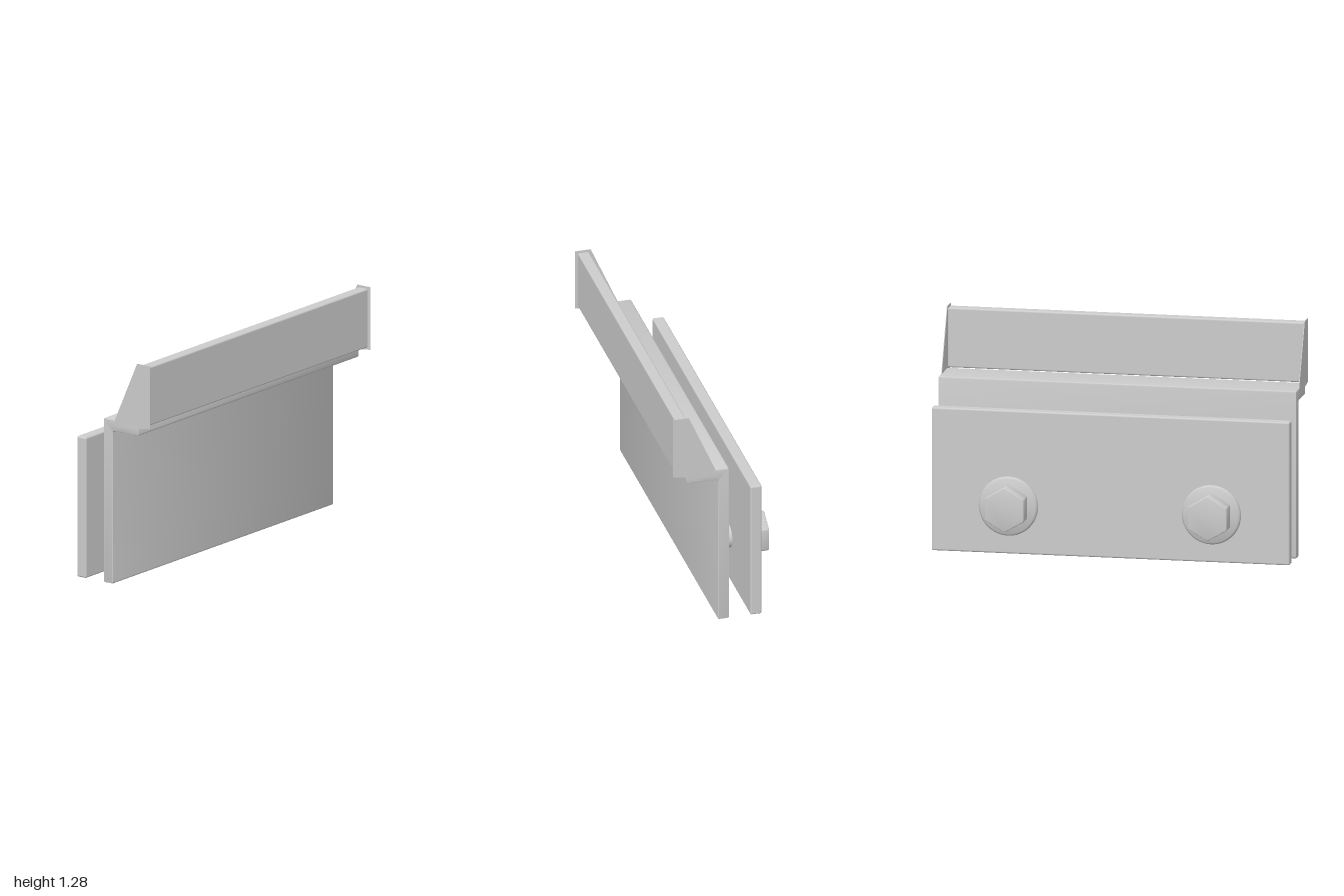
import * as THREE from 'three';
import { toCreasedNormals } from 'three/addons/utils/BufferGeometryUtils.js';
import { RoundedBoxGeometry } from 'three/addons/geometries/RoundedBoxGeometry.js';

const grey = new THREE.MeshStandardMaterial({ color: 0xcccccc });
const thin = new THREE.MeshStandardMaterial({ color: 0xcccccc, side: THREE.DoubleSide });

function add(parent, name, geometry, material = grey) {
  const mesh = new THREE.Mesh(geometry, material);
  mesh.name = name;
  parent.add(mesh);
  return mesh;
}

// Closed outline with small rounded corners
function roundedShape(points, r) {
  const pts = points.map(([x, y]) => new THREE.Vector2(x, y));
  const shape = new THREE.Shape();
  pts.forEach((p, i) => {
    const prev = pts[(i + pts.length - 1) % pts.length];
    const next = pts[(i + 1) % pts.length];
    const a = prev.clone().sub(p).setLength(r).add(p);
    const b = next.clone().sub(p).setLength(r).add(p);
    if (i === 0) shape.moveTo(a.x, a.y);
    else shape.lineTo(a.x, a.y);
    shape.quadraticCurveTo(p.x, p.y, b.x, b.y);
  });
  shape.closePath();
  return shape;
}

// Extrusion with softened ends, centred on its own depth
function softExtrude(shape, depth, bevel) {
  const geometry = new THREE.ExtrudeGeometry(shape, {
    depth: depth - 2 * bevel, curveSegments: 4,
    bevelEnabled: true, bevelSize: bevel, bevelThickness: bevel, bevelOffset: -bevel, bevelSegments: 2,
  });
  geometry.translate(0, 0, bevel - depth / 2);
  return toCreasedNormals(geometry, 0.6);
}

function makeBolt() {
  const bolt = new THREE.Group();
  bolt.name = 'bolt';

  // Shank bridging the two plates
  const shank = add(bolt, 'shank', new THREE.CylinderGeometry(0.066, 0.066, 0.15, 40));
  shank.rotation.x = Math.PI / 2;
  shank.position.z = -0.065;

  // Washer with a rounded rim
  const rim = [[0, 0], [0.153, 0], [0.162, 0.005], [0.165, 0.012], [0.165, 0.021], [0.162, 0.028], [0.153, 0.034], [0, 0.034]];
  const washer = add(bolt, 'washer', toCreasedNormals(
    new THREE.LatheGeometry(rim.map(([r, y]) => new THREE.Vector2(r, y)), 48), 0.7));
  washer.rotation.x = -Math.PI / 2;
  washer.position.z = -0.185;

  // Hexagonal head, corner up
  const corners = [];
  for (let i = 0; i < 6; i++) {
    const a = Math.PI / 2 + (i * Math.PI) / 3;
    corners.push([0.126 * Math.cos(a), 0.126 * Math.sin(a)]);
  }
  add(bolt, 'hexHead', softExtrude(roundedShape(corners, 0.008), 0.1, 0.008)).position.z = -0.269;
  return bolt;
}

export function createModel() {
  const model = new THREE.Group();
  model.name = 'clampBracket';

  // Front plate and its shelf as one angle section (z, y)
  const section = [[0, 0], [0.065, 0], [0.065, 0.87], [0.24, 0.87], [0.24, 0.935], [0, 0.935]];
  const angle = softExtrude(roundedShape(section, 0.011), 2, 0.006);
  angle.rotateY(-Math.PI / 2);
  add(model, 'angleBracket', angle);

  // Upright lip in front of the shelf
  add(model, 'frontLip', new RoundedBoxGeometry(1.996, 0.335, 0.065, 3, 0.01)).position.set(0, 1.1025, 0.2725);

  // Thin gussets closing both ends of the lip
  const gusset = new THREE.Shape([[0.235, 0.912], [0.32, 0.925], [0.32, 1.28], [0.23, 1.28], [0.078, 0.935], [0.078, 0.9], [0.235, 0.9]]
    .map(([z, y]) => new THREE.Vector2(z, y)));
  for (const side of [-1, 1]) {
    const geometry = new THREE.ExtrudeGeometry(gusset, { depth: 0.004, bevelEnabled: false });
    geometry.translate(0, 0, -0.002);
    geometry.rotateY(-Math.PI / 2);
    add(model, side > 0 ? 'leftGusset' : 'rightGusset', geometry, thin).position.x = side * 0.998;
  }

  // Loose clamping plate behind
  add(model, 'backPlate', new RoundedBoxGeometry(2, 0.8, 0.065, 3, 0.01)).position.set(0, 0.4, -0.1525);

  // Two bolts
  for (const side of [-1, 1]) {
    const bolt = makeBolt();
    bolt.position.set(side * 0.567, 0.27, 0);
    model.add(bolt);
  }
  return model;
}
